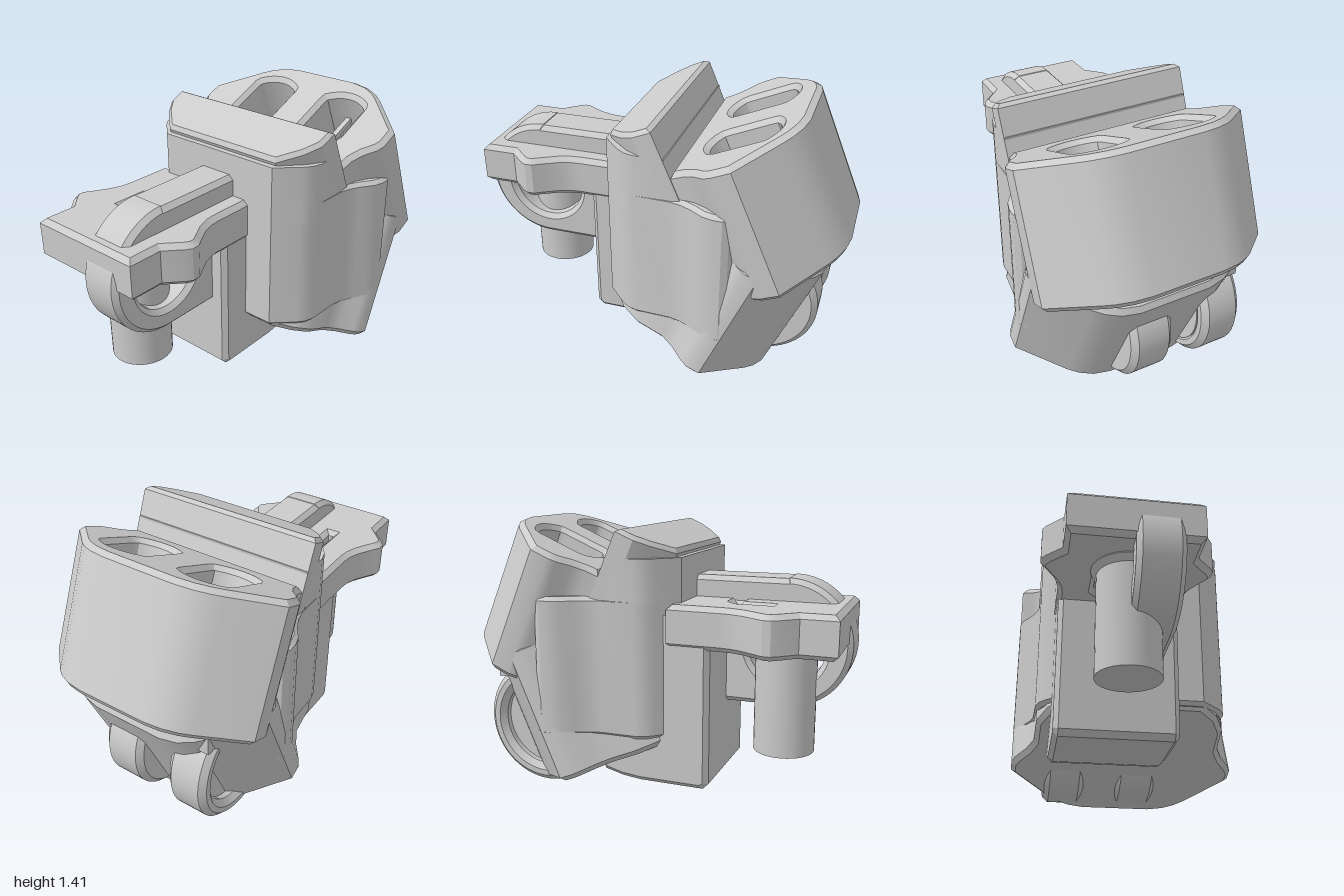
import * as THREE from 'three';
import { toCreasedNormals } from 'three/addons/utils/BufferGeometryUtils.js';

const material = new THREE.MeshStandardMaterial({ color: 0xcccccc });
const TILT = 0.405;

function add(parent, name, geometry) {
  const mesh = new THREE.Mesh(toCreasedNormals(geometry.index ? geometry.toNonIndexed() : geometry, 0.5), material);
  mesh.name = name;
  parent.add(mesh);
  return mesh;
}

// Extrusion whose bevel stays inside the outline, from 0 to depth
function extrude(shape, depth, bevel) {
  return new THREE.ExtrudeGeometry(shape, {
    depth: depth - 2 * bevel, bevelEnabled: bevel > 0, bevelSize: bevel,
    bevelThickness: bevel, bevelOffset: -bevel, bevelSegments: 1, curveSegments: 32,
  }).translate(0, 0, bevel);
}

const toPoints = (list) => list.map(([x, y]) => new THREE.Vector2(x, y));

// Upright prism from half a plan outline [x, z], mirrored across z
function prism(half, low, high, bevel, holes = []) {
  const mirrored = half.map(([x, z]) => [x, -z]);
  const shape = new THREE.Shape(toPoints([...mirrored, ...[...half].reverse()]));
  shape.holes = holes.map((h) => new THREE.Path(toPoints(h)));
  return extrude(shape, high - low, bevel).rotateX(-Math.PI / 2).translate(0, low, 0);
}

// Side profile extruded between two z positions
const slab = (shape, z0, z1, bevel) => extrude(shape, z1 - z0, bevel).translate(0, 0, z0);

const box = (w, h, d, x, y, z) => new THREE.BoxGeometry(w, h, d).translate(x, y, z);

function ringShape(x, y, outer, inner) {
  const shape = new THREE.Shape().absarc(x, y, outer, 0, Math.PI * 2);
  if (inner) shape.holes.push(new THREE.Path().absarc(x, y, inner, 0, Math.PI * 2, true));
  return shape;
}

// Round opening flattened on its inner and outer side
function windowOutline(side) {
  const points = [];
  for (let i = 0; i < 36; i++) {
    const a = (i / 36) * Math.PI * 2;
    points.push([0.3 + 0.18 * Math.cos(a), side * (0.23 + THREE.MathUtils.clamp(0.18 * Math.sin(a), -0.12, 0.125))]);
  }
  return points;
}

export function createModel() {
  const model = new THREE.Group();

  // Central body with flared sides
  add(model, 'body', prism([[-0.2, 0.35], [-0.1, 0.455], [-0.06, 0.485], [-0.01, 0.5], [0.17, 0.505],
    [0.23, 0.52], [0.29, 0.55], [0.35, 0.59], [0.4, 0.605], [0.45, 0.607], [0.48, 0.59], [0.5, 0.55]], 0.35, 1.06, 0.02));
  add(model, 'bodyUpper', prism([[-0.2, 0.35], [-0.1, 0.455], [-0.06, 0.485], [-0.01, 0.5],
    [0.14, 0.502]], 0.95, 1.25, 0));
  const crest = add(model, 'bodyCrest', prism([[0, 0.35], [0.1, 0.45], [0.18, 0.5], [0.28, 0.505]], -0.5, 0, 0.02));
  crest.position.set(-0.185, 1.285, 0);
  crest.rotation.z = TILT;

  // Upper housing, tilted, with two windows on top
  const upper = new THREE.Group();
  upper.name = 'upperHousing';
  upper.position.set(0.18, 1.17, 0);
  upper.rotation.z = TILT;
  model.add(upper);
  add(upper, 'upperShell', prism([[-0.01, 0.5], [0.06, 0.51], [0.12, 0.54], [0.18, 0.59], [0.22, 0.605], [0.32, 0.605],
    [0.52, 0.4], [0.56, 0.35], [0.595, 0.28], [0.613, 0.19]], -0.675, 0.015, 0.025, [windowOutline(1), windowOutline(-1)]));
  add(upper, 'upperFloor', box(0.45, 0.26, 0.75, 0.29, -0.53, 0));
  for (const s of [-1, 1]) {
    add(upper, 'windowBar', box(0.24, 0.03, 0.03, 0.38, -0.16, s * 0.2));
    add(upper, 'windowWall', box(0.025, 0.26, 0.25, 0.27, -0.28, s * 0.23));
  }

  // Lower housing, tilted the other way
  const lower = add(model, 'lowerHousing', prism([[0, 0.35], [0.08, 0.44], [0.18, 0.49], [0.33, 0.495], [0.4, 0.53],
    [0.47, 0.585], [0.51, 0.605], [0.58, 0.605], [0.79, 0.4], [0.83, 0.35], [0.865, 0.28], [0.883, 0.19]], -0.012, 0.715, 0.025));
  lower.position.set(-0.18, 0.35, 0);
  lower.rotation.z = -TILT;

  // Wheels showing through the lower housing
  add(model, 'innerWheel', slab(ringShape(0.555, 0.345, 0.32), -0.03, 0.2, 0.03));
  add(model, 'outerWheel', slab(ringShape(0.555, 0.35, 0.33, 0.24), -0.42, -0.2, 0.03));
  add(model, 'wheelHub', slab(ringShape(0.555, 0.35, 0.26), -0.36, -0.2, 0));
  for (const z of [0.085, -0.3]) add(model, 'spacer', box(0.24, 0.14, 0.22, 0.7, 0.65, z));

  // Column carrying the arm
  add(model, 'column', slab(new THREE.Shape(toPoints([[-0.365, 0.13], [-0.335, 0.1], [0, 0.1], [0.1, 0.11],
    [0.2, 0.135], [0.28, 0.3], [0.1, 1], [-0.365, 1]])), -0.42, 0.19, 0.025));

  // Flat arm with a hooked slot and side bulges
  const arm = add(model, 'arm', prism([[-0.98, 0.315], [-0.8, 0.315], [-0.72, 0.39], [-0.69, 0.41], [-0.65, 0.41],
    [-0.61, 0.385], [-0.53, 0.34], [-0.47, 0.32], [-0.42, 0.315], [-0.15, 0.315]], 0.815, 1.03, 0.025,
  [[[-0.62, 0.14], [-0.46, 0.14], [-0.42, 0.1], [-0.42, 0.02], [-0.45, 0.02], [-0.45, 0.09], [-0.48, 0.11], [-0.62, 0.11]]]));
  arm.position.z = -0.115;
  add(arm, 'slotFloor', box(0.3, 0.12, 0.24, -0.53, 0.91, -0.08));

  // Rounded lug with an eye, rising above the arm as a rib
  const lug = new THREE.Shape();
  lug.moveTo(-0.15, 1.14);
  lug.lineTo(-0.67, 1.14);
  lug.absarc(-0.672, 0.815, 0.328, Math.PI / 2, Math.PI * 1.5);
  lug.lineTo(-0.3, 0.487);
  lug.lineTo(-0.15, 0.487);
  lug.holes.push(new THREE.Path().absarc(-0.668, 0.8, 0.2, 0, Math.PI * 2, true));
  add(model, 'lug', slab(lug, -0.12, 0.105, 0.025));

  // Pin hanging through the eye
  const pin = [[0, 0.265], [0.155, 0.265], [0.155, 0.78], [0.18, 0.81], [0.18, 0.84], [0.08, 0.86], [0.08, 1.03], [0, 1.03]];
  add(model, 'pin', new THREE.LatheGeometry(toPoints(pin), 40).translate(-0.675, 0, -0.11));

  return model;
}
